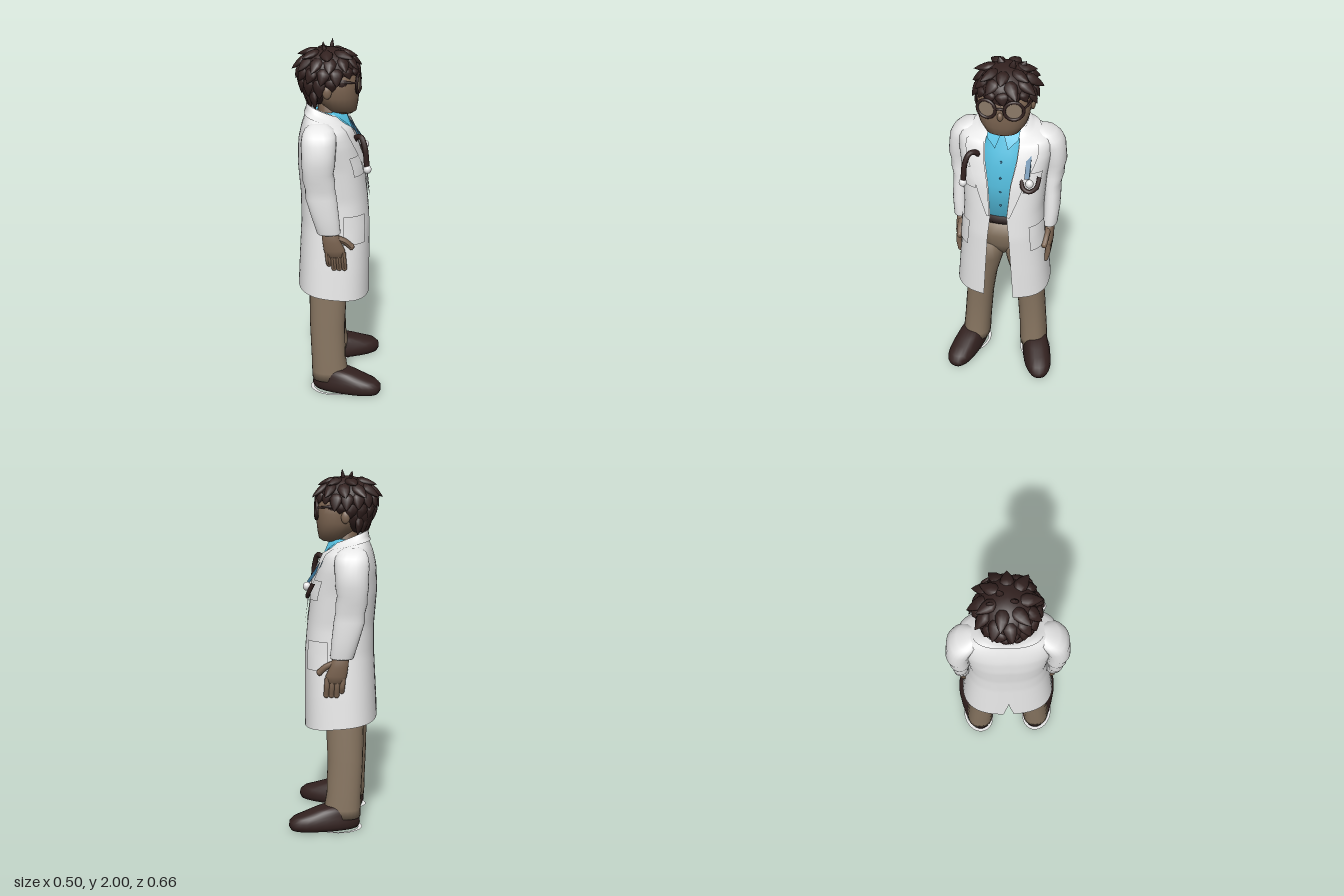
import * as THREE from 'three';

const mat = (name, color, side = THREE.FrontSide) => {
  const m = new THREE.MeshStandardMaterial({ color, side });
  m.name = name;
  return m;
};
const M = {
  coat: mat('coat white', 0xf0f0f0, THREE.DoubleSide),
  shirt: mat('shirt blue', 0x55bfe0, THREE.DoubleSide),
  skin: mat('skin brown', 0x7a6350),
  pants: mat('trouser tan', 0x85735f),
  hair: mat('dark brown', 0x32211f),
  lens: mat('lens tan', 0x8c7a68, THREE.DoubleSide),
  pen: mat('pen blue', 0x2f6d92),
};
const V = (x, y, z) => new THREE.Vector3(x, y, z);
const bend = (v, n) => Math.sign(v) * Math.abs(v) ** (2 / n);

function indexed(pos, idx) {
  const g = new THREE.BufferGeometry();
  g.setAttribute('position', new THREE.Float32BufferAttribute(pos, 3));
  g.setIndex(idx);
  g.computeVertexNormals();
  return g;
}

// Closed solid through horizontal rings [y, x, z, rx, rz], lowest first
function loft(rings, n = 2.2, seg = 24) {
  const pos = [], idx = [], top = rings.length - 1;
  for (const [y, x, z, rx, rz] of rings)
    for (let j = 0; j < seg; j++) {
      const a = (j / seg) * Math.PI * 2;
      pos.push(x + rx * bend(Math.sin(a), n), y, z + rz * bend(Math.cos(a), n));
    }
  const end = pos.length / 3;
  for (const r of [rings[0], rings[top]]) pos.push(r[1], r[0], r[2]);
  for (let j = 0; j < seg; j++) {
    const k = (j + 1) % seg;
    for (let i = 0; i < top; i++) {
      const a = i * seg + j, b = i * seg + k;
      idx.push(a, b, b + seg, a, b + seg, a + seg);
    }
    idx.push(end, k, j, end + 1, top * seg + j, top * seg + k);
  }
  return indexed(pos, idx);
}

// Reflected copy across x = 0 with the winding turned round
function mirror(geo) {
  const g = geo.clone().scale(-1, 1, 1), a = g.index.array;
  for (let i = 0; i < a.length; i += 3) [a[i], a[i + 1]] = [a[i + 1], a[i]];
  g.computeVertexNormals();
  return g;
}

// Coat rows: y, half width, back z, front z, front gap, back vent
const ROWS = [
  [0.595, 0.27, -0.24, 0.168, 0.085, 0.03], [0.76, 0.255, -0.232, 0.168, 0.075, 0],
  [1.0, 0.23, -0.22, 0.166, 0.06, 0], [1.15, 0.222, -0.22, 0.153, 0.045, 0],
  [1.34, 0.235, -0.235, 0.13, 0.06, 0], [1.47, 0.255, -0.23, 0.09, 0.085, 0],
  [1.545, 0.255, -0.213, 0.055, 0.09, 0], [1.59, 0.215, -0.195, 0.03, 0.09, 0],
  [1.625, 0.14, -0.178, 0.01, 0.085, 0], [1.665, 0.105, -0.172, -0.005, 0.085, 0],
];
function coatPoint(u, y, off) {
  let i = 0;
  while (i < ROWS.length - 2 && y > ROWS[i + 1][0]) i++;
  const t = (y - ROWS[i][0]) / (ROWS[i + 1][0] - ROWS[i][0]);
  const [, w, zb, zf, gap, vent] = ROWS[i].map((v, k) => v + (ROWS[i + 1][k] - v) * t);
  const n = 2.6, a0 = Math.asin((gap / w) ** (n / 2));
  const a1 = Math.PI - Math.asin((Math.max(vent, 0) / w) ** (n / 2));
  const a = a0 + (a1 - a0) * u;
  const z = (zb + zf) / 2 + ((zf - zb) / 2 + off) * bend(Math.cos(a), n);
  // the hem and the neckline both dip towards the front
  const dip = 0.1 * z * Math.max(0, (1 - y) / 0.42) + 0.4 * (z + 0.17) * Math.max(0, (y - 1.55) / 0.115);
  return [(w + off) * bend(Math.sin(a), n), y - dip, z];
}
// Patch of the coat's left half; its outer edge may vary with height (v)
function coatPatch(u0, u1, y0, y1, off, nu, nv) {
  const pos = [], idx = [];
  for (let j = 0; j <= nv; j++)
    for (let i = 0; i <= nu; i++) {
      const v = j / nv;
      pos.push(...coatPoint(u0 + ((typeof u1 === 'function' ? u1(v) : u1) - u0) * i / nu, y0 + (y1 - y0) * v, off));
    }
  for (let j = 0; j < nv; j++)
    for (let i = 0; i < nu; i++) {
      const a = j * (nu + 1) + i, b = a + nu + 1;
      idx.push(a, a + 1, b + 1, a, b + 1, b);
    }
  return indexed(pos, idx);
}

export function createModel() {
  const body = new THREE.Group();
  body.name = 'figure';
  const add = (name, geo, m) => {
    const mesh = new THREE.Mesh(geo, m);
    mesh.name = name;
    body.add(mesh);
  };
  const pair = (name, geo, m) => {
    add(name + 'Left', geo, m);
    add(name + 'Right', mirror(geo), m);
  };
  const ball = (x, y, z, rx, ry, rz) => new THREE.SphereGeometry(1, 20, 14).scale(rx, ry, rz).translate(x, y, z);
  const tube = (pts, r) => new THREE.TubeGeometry(new THREE.CatmullRomCurve3(pts.map(p => V(...p))), 24, r, 10);

  // Lab coat: open shell, lapels, pockets, sleeves
  pair('coat', coatPatch(0, 1, 0.595, 1.665, 0, 28, 40), M.coat);
  pair('lapel', coatPatch(0, v => 0.02 + 0.15 * Math.min(1, v * 1.3), 1.15, 1.62, 0.012, 4, 14), M.coat);
  pair('collar', coatPatch(0, 1, 1.61, 1.665, 0.012, 24, 4), M.coat);
  pair('chestPocket', coatPatch(0.1, 0.27, 1.3, 1.41, 0.008, 5, 6), M.coat);
  pair('sidePocket', coatPatch(0.18, 0.42, 0.92, 1.08, 0.009, 6, 8), M.coat);
  pair('sleeve', loft([
    [0.995, 0.255, -0.06, 0.038, 0.058], [1.0, 0.255, -0.06, 0.043, 0.064], [1.1, 0.26, -0.08, 0.047, 0.075],
    [1.2, 0.258, -0.1, 0.048, 0.084], [1.25, 0.255, -0.105, 0.05, 0.08], [1.3, 0.258, -0.112, 0.06, 0.086],
    [1.34, 0.26, -0.116, 0.058, 0.082], [1.39, 0.263, -0.115, 0.066, 0.09], [1.44, 0.258, -0.113, 0.066, 0.09],
    [1.5, 0.246, -0.112, 0.072, 0.094], [1.54, 0.228, -0.11, 0.07, 0.09], [1.57, 0.205, -0.11, 0.06, 0.075],
    [1.59, 0.18, -0.11, 0.03, 0.04],
  ]), M.coat);

  // Hands
  pair('palm', loft([
    [0.86, 0.255, -0.025, 0.02, 0.05], [0.9, 0.257, -0.03, 0.026, 0.058],
    [0.95, 0.257, -0.045, 0.026, 0.05], [1.02, 0.256, -0.06, 0.026, 0.042],
  ]), M.skin);
  for (let i = 0; i < 4; i++) {
    const z = -0.067 + i * 0.028, y = 0.79 + (i === 0 ? 0.025 : 0);
    pair('finger' + i, tube([[0.258, 0.89, z], [0.26, 0.84, z + 0.004], [0.25, y, z + 0.008]], 0.0155), M.skin);
    pair('fingerTip' + i, ball(0.25, y, z + 0.008, 0.0155, 0.016, 0.0155), M.skin);
  }
  pair('thumb', tube([[0.252, 0.97, -0.02], [0.248, 0.945, 0.03], [0.244, 0.915, 0.062]], 0.017), M.skin);
  pair('thumbTip', ball(0.244, 0.915, 0.062, 0.017, 0.019, 0.017), M.skin);

  // Trousers and belt
  pair('trouserLeg', loft([
    [0.07, 0.18, -0.058, 0.082, 0.102], [0.12, 0.178, -0.058, 0.082, 0.104], [0.2, 0.173, -0.066, 0.08, 0.098],
    [0.4, 0.158, -0.072, 0.08, 0.1], [0.58, 0.137, -0.068, 0.086, 0.106], [0.74, 0.108, -0.065, 0.1, 0.12],
    [0.88, 0.09, -0.06, 0.1, 0.14],
  ], 2.4), M.pants);
  add('hips', loft([
    [0.77, 0, -0.06, 0.02, 0.06], [0.82, 0, -0.06, 0.08, 0.1], [0.88, 0, -0.06, 0.165, 0.138],
    [0.95, 0, -0.06, 0.18, 0.147], [1.06, 0, -0.06, 0.165, 0.147],
  ], 2.4), M.pants);
  add('belt', loft([[1.05, 0, -0.06, 0.172, 0.155], [1.1, 0, -0.06, 0.17, 0.158]], 2.4), M.hair);

  // Shoes with a pale thin rim under the heel, toes turned out
  const place = g => g.rotateY(0.26).translate(0.215, 0, 0.04);
  pair('shoe', place(loft([
    [0.008, 0, 0, 0.074, 0.193], [0.03, 0, 0, 0.084, 0.203], [0.055, 0, 0, 0.083, 0.201],
    [0.078, 0, -0.008, 0.077, 0.185], [0.1, 0, -0.035, 0.071, 0.15], [0.12, 0, -0.06, 0.065, 0.122],
    [0.14, 0, -0.09, 0.055, 0.085],
  ], 2.4)), M.hair);
  pair('heelRim', place(new THREE.RingGeometry(0.82, 1, 28).rotateX(-Math.PI / 2).scale(0.094, 1, 0.125).translate(0, 0.002, -0.09)), M.coat);

  // Shirt, placket buttons, collar points
  add('shirt', loft([
    [1.08, 0, -0.06, 0.16, 0.15], [1.3, 0, -0.06, 0.165, 0.158], [1.42, 0, -0.065, 0.16, 0.148],
    [1.5, 0, -0.07, 0.15, 0.13], [1.57, 0, -0.07, 0.115, 0.1], [1.62, 0, -0.07, 0.085, 0.085],
  ], 2.3), M.shirt);
  for (let i = 0; i < 4; i++) {
    const y = 1.18 + i * 0.09;
    add('button' + i, ball(0, y, y < 1.4 ? 0.095 : 0.076, 0.006, 0.006, 0.006), M.pen);
  }
  const flap = indexed([0.008, 1.6, 0.035, 0.035, 1.525, 0.066, 0.085, 1.57, 0.03, 0.09, 1.63, -0.05], [0, 1, 2, 0, 2, 3]);
  pair('shirtCollar', flap, M.shirt);

  // Head, neck, ears, nose
  add('neck', loft([[1.54, 0, -0.06, 0.075, 0.07], [1.68, 0, -0.05, 0.07, 0.07]]), M.skin);
  add('head', loft([
    [1.608, 0, 0.02, 0.05, 0.045], [1.625, 0, 0.012, 0.09, 0.076], [1.67, 0, -0.008, 0.125, 0.104], [1.71, 0, -0.01, 0.137, 0.11],
    [1.76, 0, -0.012, 0.143, 0.11], [1.82, 0, -0.02, 0.14, 0.11], [1.9, 0, -0.06, 0.11, 0.1],
  ], 2.3), M.skin);
  pair('ear', ball(0.143, 1.745, -0.07, 0.014, 0.034, 0.024), M.skin);
  add('nose', ball(0, 1.742, 0.098, 0.016, 0.024, 0.017), M.skin);

  // Round spectacles
  pair('spectacleRim', new THREE.TorusGeometry(0.05, 0.0085, 8, 28).rotateY(0.2).translate(0.072, 1.782, 0.095), M.hair);
  pair('lens', new THREE.CircleGeometry(0.048, 24).rotateY(0.2).translate(0.072, 1.782, 0.096), M.lens);
  add('bridge', tube([[-0.024, 1.787, 0.104], [0, 1.794, 0.108], [0.024, 1.787, 0.104]], 0.007), M.hair);
  pair('templeArm', tube([[0.121, 1.795, 0.085], [0.142, 1.8, 0.03], [0.143, 1.795, -0.07]], 0.006), M.hair);

  // Hair: two masses covered with flattened pointed locks
  add('hairCap', ball(0, 1.832, -0.066, 0.154, 0.13, 0.163), M.hair);
  add('hairBack', ball(0, 1.765, -0.122, 0.13, 0.112, 0.092), M.hair);
  const profile = [[0, 0], [0.7, 0.1], [1, 0.32], [0.85, 0.55], [0.45, 0.8], [0, 1]];
  const lock = (base, dir, normal, len, r) => {
    const g = new THREE.LatheGeometry(profile.map(([a, b]) => new THREE.Vector2(a * r, b * len)), 10).scale(1, 1, 0.6);
    const y = dir.clone().normalize(), x = y.clone().cross(normal).normalize();
    g.applyMatrix4(new THREE.Matrix4().makeBasis(x, y, x.clone().cross(y)));
    add('hairLock', g.translate(base.x, base.y, base.z), M.hair);
  };
  // Rings: elevation, count, length
  [[1.2, 7, 0.11], [0.8, 11, 0.11], [0.35, 15, 0.105], [-0.1, 15, 0.11]].forEach(([e, count, len], k) => {
    for (let i = 0; i < count; i++) {
      const a = ((i + 0.5 * (k % 2)) / count) * Math.PI * 2, j = Math.sin(i * 12.9 + k * 7.3);
      const s = Math.sin(a), c = Math.cos(a);
      if (k === 3 && c > 0.75) continue;
      const n = V(s * Math.cos(e), Math.sin(e), c * Math.cos(e));
      const down = V(s * Math.sin(e), -Math.cos(e), c * Math.sin(e));
      const dir = down.addScaledVector(n, 0.1 + 0.06 * j).add(V(0.35 * c, 0, -0.35 * s).multiplyScalar(j));
      const trim = (k === 2 && c > 0.5) || (k === 3 && c > -0.1) ? 0.62 : 1;
      lock(V(n.x * 0.143, 1.832 + n.y * 0.118, -0.066 + n.z * 0.15), dir, n, (len + 0.015 * j) * trim, 0.036);
    }
  });
  for (let i = 0; i < 7; i++) {
    const x = (i - 3) * 0.034;
    lock(V(x, 1.755, -0.19 + x * x * 4), V(x, -1, 0.15), V(x, 0, -0.2), 0.11, 0.032);
  }
  lock(V(0.03, 1.93, -0.05), V(0.25, 1, 0.1), V(0, 0, 1), 0.072, 0.02);
  lock(V(-0.02, 1.925, -0.08), V(-0.4, 1, -0.2), V(0, 0, 1), 0.066, 0.024);
  lock(V(0.06, 1.91, -0.09), V(0.7, 1, -0.1), V(0, 0, 1), 0.075, 0.024);

  // Hooked stethoscope end on the right, looped end and pen on the left
  add('stethoscopeHook', tube([[-0.115, 1.45, 0.06], [-0.13, 1.5, 0.085], [-0.16, 1.51, 0.112], [-0.183, 1.46, 0.132], [-0.192, 1.36, 0.143]], 0.015), M.hair);
  add('stethoscopeBell', ball(-0.194, 1.343, 0.146, 0.022, 0.024, 0.022), M.coat);
  add('stethoscopeLoop', tube([[0.115, 1.385, 0.105], [0.13, 1.335, 0.13], [0.165, 1.32, 0.135], [0.2, 1.345, 0.125], [0.212, 1.4, 0.098]], 0.012), M.hair);
  add('stethoscopeEnd', ball(0.165, 1.375, 0.138, 0.022, 0.024, 0.022), M.coat);
  add('pen', new THREE.BoxGeometry(0.026, 0.14, 0.016).rotateX(-0.6).translate(0.15, 1.455, 0.092), M.pen);

  // Turn the figure to face along +x
  body.rotation.y = Math.PI / 2;
  const model = new THREE.Group();
  model.name = 'doctor';
  model.add(body);
  return model;
}
